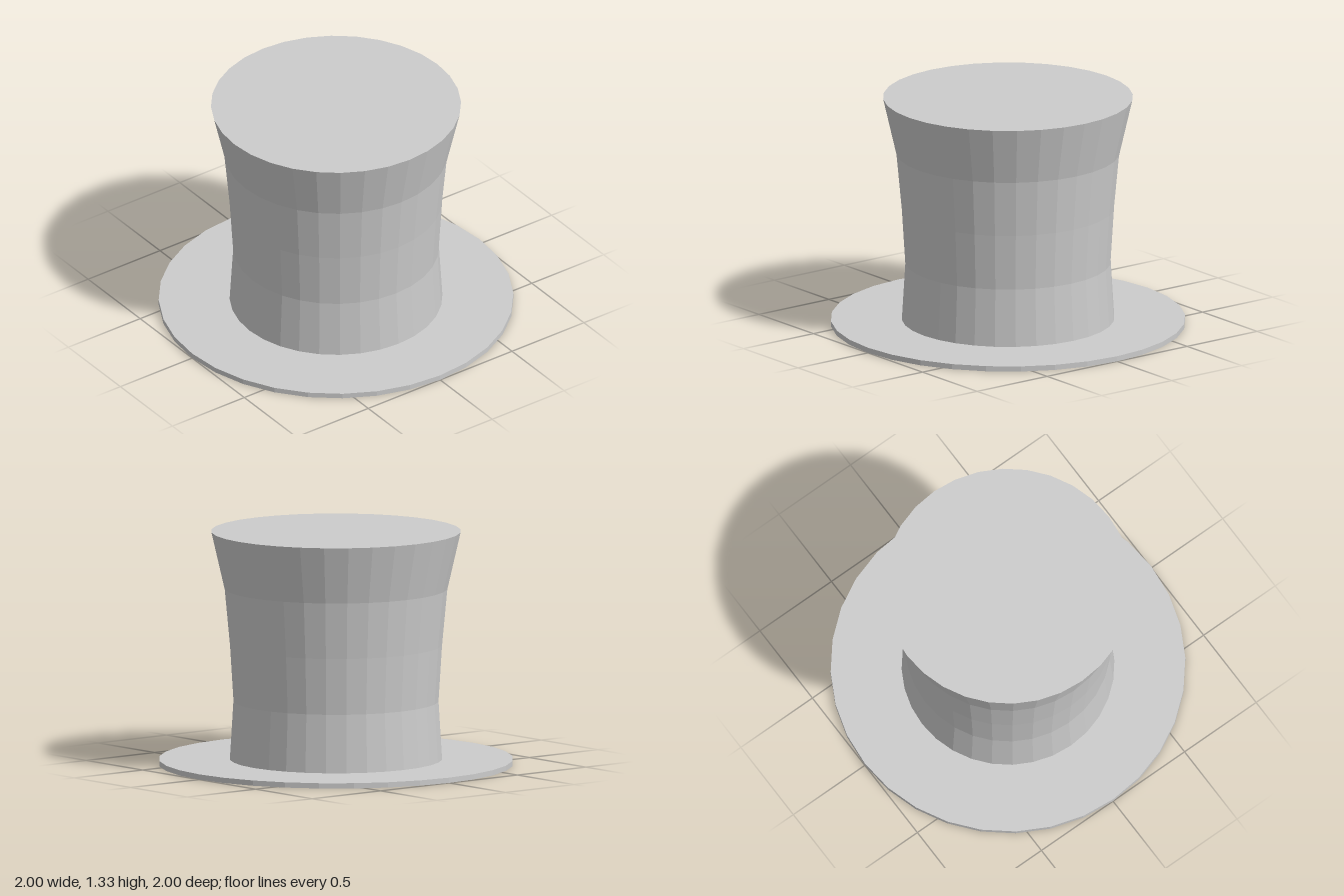
import * as THREE from 'three';

const SIDES = 32;

// Revolve a [radius, height] profile into a faceted part
function lathePart(name, profile) {
  const points = profile.map(([r, y]) => new THREE.Vector2(r, y));
  const material = new THREE.MeshStandardMaterial({ color: 0xcccccc, flatShading: true });
  const mesh = new THREE.Mesh(new THREE.LatheGeometry(points, SIDES), material);
  mesh.name = name;
  return mesh;
}

export function createModel() {
  const hat = new THREE.Group();
  hat.name = 'topHat';

  // Thin flat brim, from the head opening out to the rim and back to the crown
  hat.add(lathePart('brim', [[0.53, 0], [1, 0], [1, 0.03], [0.6, 0.03]]));

  // Waisted crown flaring to a flat top
  hat.add(lathePart('crown', [
    [0.6, 0.03], [0.58, 0.36], [0.6, 0.68], [0.63, 1.0], [0.705, 1.325], [0, 1.325],
  ]));

  // Head opening: straight wall closed by a ceiling
  hat.add(lathePart('headOpening', [[0, 0.55], [0.53, 0.55], [0.53, 0]]));

  return hat;
}
